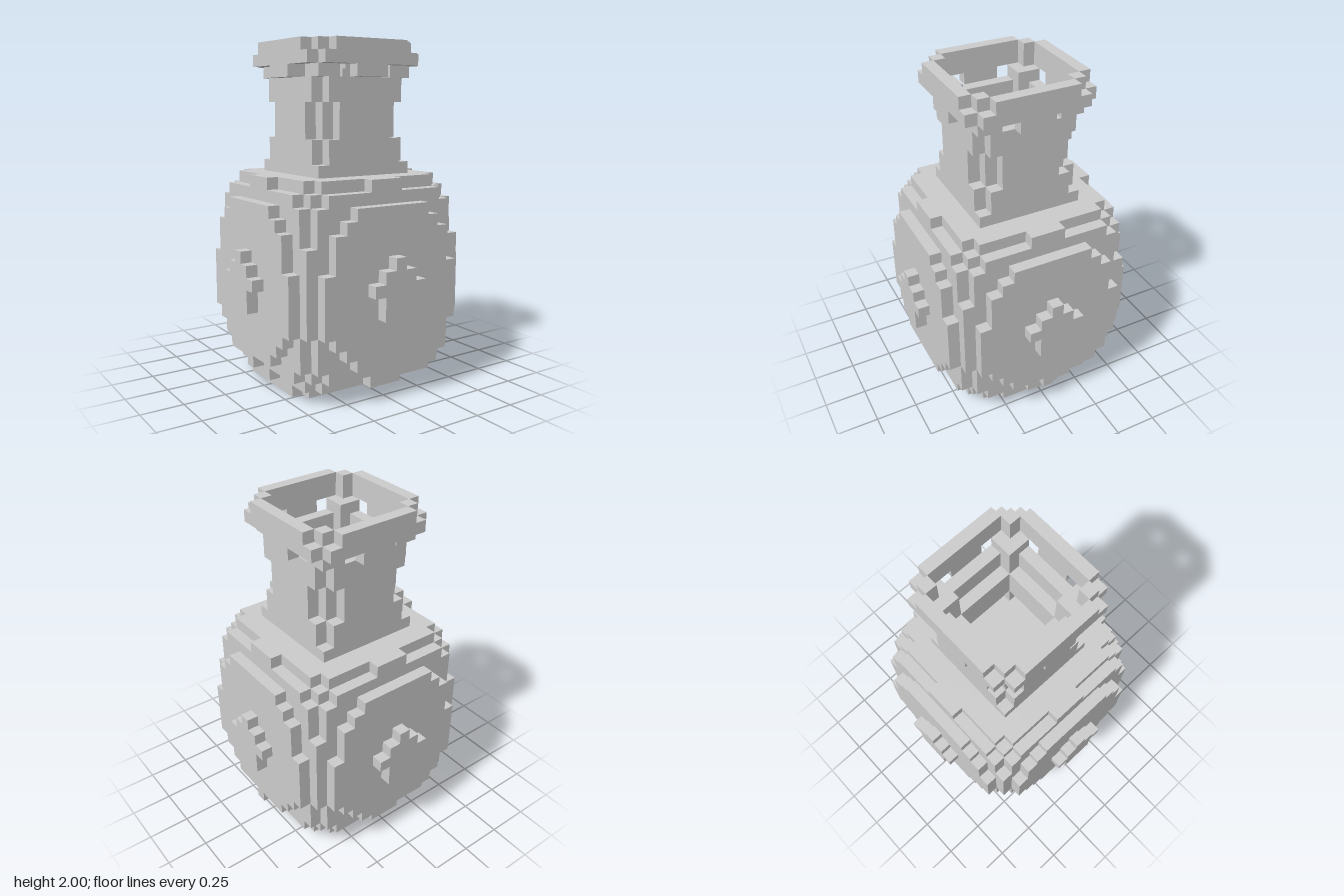
import * as THREE from 'three';

const U = 2 / 29; // edge of one cube

// Half widths (in cubes) of each outer body layer, row by row from the first row given
const LAYERS = {
  9: { from: 7, half: [1, 1, 2, 1, 0] },
  8: { from: 3, half: [3, 4, 5, 6, 6, 6, 6, 6, 5, 5, 5, 4, 3] },
  7: { from: 1, half: [1, 5, 6, 6, 6, 7, 7, 7, 7, 7, 7, 7, 6, 6, 6, 5, 1] },
};

// m and n are the larger and smaller distance from the axis
function inBody(x, y, z) {
  const ax = Math.abs(x), az = Math.abs(z);
  const m = Math.max(ax, az), n = Math.min(ax, az);
  if (y === 0) return (ax <= 6 && az <= 3) || (ax <= 5 && az <= 4);
  if (y === 18) return m <= 1;
  if (y < 1 || y > 18) return false;
  if (ax === 8 && y === 2 && az === 0) return true;
  if (m >= 7) {
    const layer = LAYERS[m];
    const half = layer && layer.half[y - layer.from];
    return half !== undefined && n <= half;
  }
  if (m === 6 && (y === 1 || y === 17)) return n <= 5;
  return true;
}

// Hollow square neck, pinched in the middle, corners notched
function inNeck(x, y, z) {
  const m = Math.max(Math.abs(x), Math.abs(z)), n = Math.min(Math.abs(x), Math.abs(z));
  if (y === 18) return m === 4;
  if (y < 18 || y > 25) return false;
  if (y >= 21 && y <= 23) return m === 3 || (m === 4 && n <= 2);
  return (m === 4 && n <= 3) || (m === 3 && n === 3);
}

// Flared lip on four corner posts, with small openings under it
function inLip(x, y, z) {
  const m = Math.max(Math.abs(x), Math.abs(z)), n = Math.min(Math.abs(x), Math.abs(z));
  if (y === 26) return (m === 5 && n <= 1) || (m <= 4 && n >= 3);
  if (y === 27) return (m === 5 && n <= 4) || (m === 4 && n === 4);
  if (y === 28) return (m === 5 && n <= 3) || (m === 4 && n === 4);
  return false;
}

const parts = { body: inBody, neck: inNeck, lip: inLip };
const solid = (x, y, z) => inBody(x, y, z) || inNeck(x, y, z) || inLip(x, y, z);

// Builds only the exposed cube faces of a part
function cubeGeometry(inside) {
  const pos = [], nor = [], idx = [];
  for (let y = 0; y < 29; y++) for (let x = -9; x <= 9; x++) for (let z = -9; z <= 9; z++) {
    if (!inside(x, y, z)) continue;
    for (let axis = 0; axis < 3; axis++) for (const s of [-1, 1]) {
      const n = [0, 0, 0];
      n[axis] = s;
      if (solid(x + n[0], y + n[1], z + n[2])) continue;
      const base = pos.length / 3;
      const a = (axis + 1) % 3, b = (axis + 2) % 3;
      for (const [p, q] of [[-1, -1], [1, -1], [1, 1], [-1, 1]]) {
        const c = [x, y + 0.5, z];
        c[axis] += s / 2;
        c[a] += (p * s) / 2;
        c[b] += q / 2;
        pos.push(c[0] * U, c[1] * U, c[2] * U);
        nor.push(...n);
      }
      idx.push(base, base + 1, base + 2, base, base + 2, base + 3);
    }
  }
  const g = new THREE.BufferGeometry();
  g.setAttribute('position', new THREE.Float32BufferAttribute(pos, 3));
  g.setAttribute('normal', new THREE.Float32BufferAttribute(nor, 3));
  g.setIndex(idx);
  return g;
}

export function createModel() {
  const group = new THREE.Group();
  group.name = 'vase';
  const material = new THREE.MeshStandardMaterial({ color: 0xcccccc, flatShading: true });
  for (const [name, inside] of Object.entries(parts)) {
    const mesh = new THREE.Mesh(cubeGeometry(inside), material);
    mesh.name = name;
    group.add(mesh);
  }
  return group;
}
